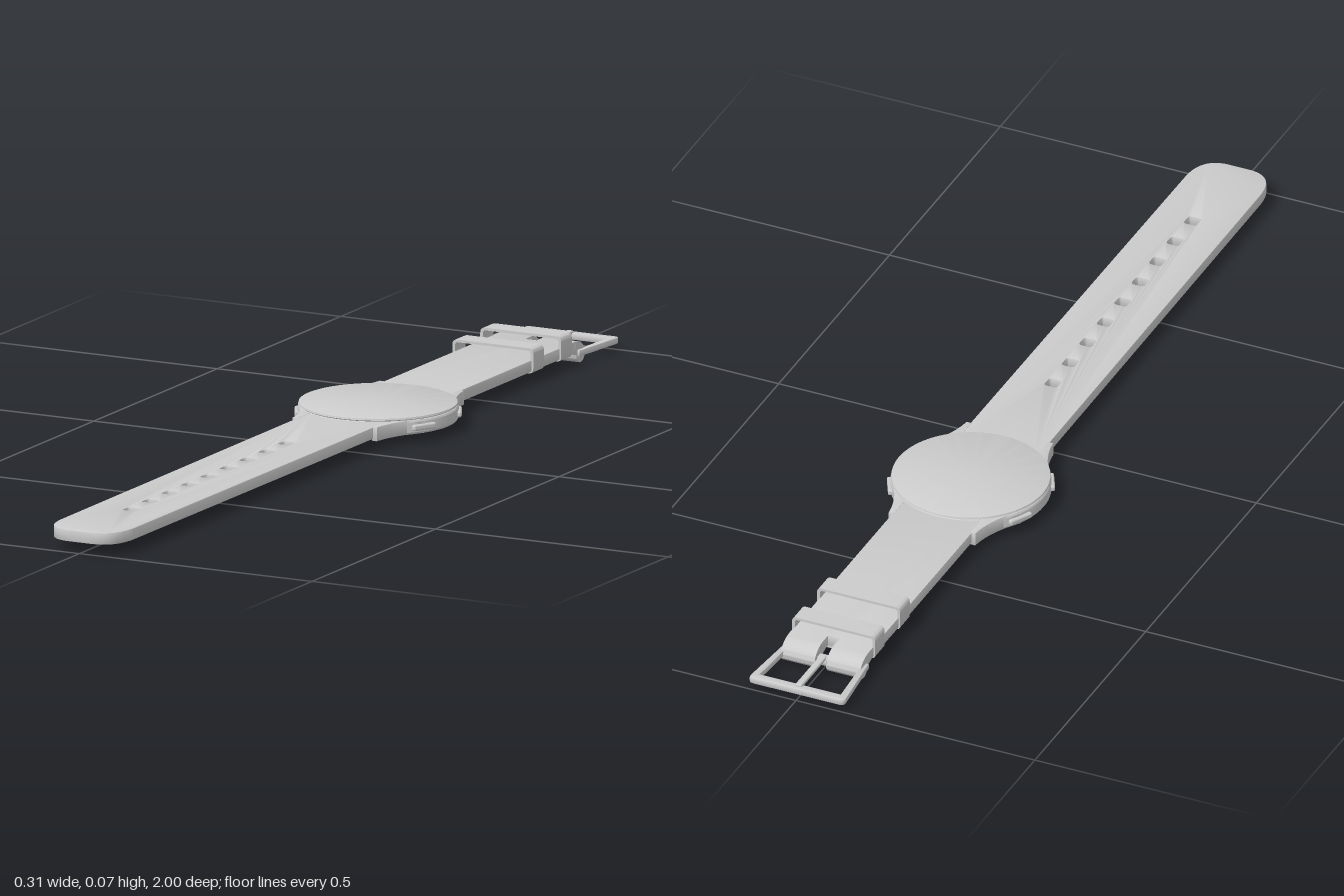
import * as THREE from 'three';
import { toCreasedNormals } from 'three/addons/utils/BufferGeometryUtils.js';
import { RoundedBoxGeometry } from 'three/addons/geometries/RoundedBoxGeometry.js';

const CASE_Z = -0.21;
const material = new THREE.MeshStandardMaterial({ color: 0xcccccc });

export function createModel() {
  const model = new THREE.Group();

  const add = (name, geometry, x = 0, y = 0, z = 0) => {
    const mesh = new THREE.Mesh(geometry, material);
    mesh.name = name;
    mesh.position.set(x, y, z);
    model.add(mesh);
    return mesh;
  };

  // Extrudes a plan outline (x, z) downward from the height top to bottom
  const slab = (shape, top, bottom, bevel = 0) => {
    const g = new THREE.ExtrudeGeometry(shape, {
      depth: top - bottom - 2 * bevel, curveSegments: 12,
      bevelEnabled: bevel > 0, bevelSize: bevel, bevelThickness: bevel, bevelOffset: -bevel, bevelSegments: 2,
    });
    g.rotateX(Math.PI / 2).translate(0, top - bevel, 0);
    return toCreasedNormals(g, 0.6);
  };

  const roundRect = (path, x0, y0, x1, y1, r) => {
    path.moveTo(x0 + r, y0);
    path.lineTo(x1 - r, y0);
    path.quadraticCurveTo(x1, y0, x1, y0 + r);
    path.lineTo(x1, y1 - r);
    path.quadraticCurveTo(x1, y1, x1 - r, y1);
    path.lineTo(x0 + r, y1);
    path.quadraticCurveTo(x0, y1, x0, y1 - r);
    path.lineTo(x0, y0 + r);
    path.quadraticCurveTo(x0, y0, x0 + r, y0);
    return path;
  };

  // Round case with a stepped bezel and a flat screen
  const profile = [
    [0, 0.016], [0.143, 0.016], [0.15, 0.018], [0.153, 0.022], [0.153, 0.042],
    [0.151, 0.045], [0.149, 0.046], [0.152, 0.048], [0.151, 0.0515], [0.147, 0.053], [0, 0.053],
  ].map(([r, y]) => new THREE.Vector2(r, y));
  add('case', toCreasedNormals(new THREE.LatheGeometry(profile, 80), 0.5), 0, 0, CASE_Z);

  // Four lugs that sweep out of the case beside the strap
  for (const sx of [-1, 1]) {
    for (const sz of [-1, 1]) {
      const lug = new THREE.Shape();
      lug.moveTo(sx * 0.136, sz * 0.068);
      lug.quadraticCurveTo(sx * 0.096, sz * 0.122, sx * 0.091, sz * 0.176);
      lug.lineTo(sx * 0.08, sz * 0.176);
      lug.lineTo(sx * 0.08, sz * 0.09);
      add('lug', slab(lug, 0.046, 0.018, 0.002), 0, 0, CASE_Z);
    }
  }

  // Two push buttons on each flank
  for (const side of [0, Math.PI]) {
    for (const tilt of [-0.48, 0.48]) {
      const a = side + tilt;
      const button = add('button', new RoundedBoxGeometry(0.016, 0.012, 0.052, 2, 0.004),
        0.151 * Math.cos(a), 0.031, CASE_Z + 0.151 * Math.sin(a));
      button.rotation.y = -a;
    }
  }

  // Long strap with a rounded tip and nine adjustment holes
  const long = new THREE.Shape();
  long.moveTo(-0.083, -0.1);
  long.lineTo(0.083, -0.1);
  long.lineTo(0.079, 0.93);
  long.bezierCurveTo(0.077, 0.975, 0.06, 1, 0.02, 1);
  long.lineTo(-0.02, 1);
  long.bezierCurveTo(-0.06, 1, -0.077, 0.975, -0.079, 0.93);
  for (let i = 0; i < 9; i++) {
    const z = 0.16 + i * 0.0787;
    long.holes.push(roundRect(new THREE.Path(), -0.013, z - 0.013, 0.013, z + 0.013, 0.007));
  }
  add('longStrap', slab(long, 0.045, 0.022, 0.002));

  // Short strap, notched at its end for the buckle tongue
  const short = new THREE.Shape();
  [[-0.083, -0.32], [-0.083, -0.855], [-0.012, -0.855], [-0.012, -0.83],
    [0.012, -0.83], [0.012, -0.855], [0.083, -0.855], [0.083, -0.32]]
    .forEach(([x, z], i) => (i ? short.lineTo(x, z) : short.moveTo(x, z)));
  add('shortStrap', slab(short, 0.045, 0.022, 0.002));

  // Strap ends rolled down around the buckle bar
  const curl = new THREE.Shape();
  curl.moveTo(0.835, 0.045);
  curl.lineTo(0.855, 0.045);
  curl.bezierCurveTo(0.875, 0.043, 0.89, 0.032, 0.89, 0.018);
  curl.absarc(0.873, 0.018, 0.017, 0, -Math.PI, true);
  curl.lineTo(0.835, 0.024);
  for (const x of [-0.0475, 0.0475]) {
    const g = new THREE.ExtrudeGeometry(curl, { depth: 0.071, bevelEnabled: false, curveSegments: 12 });
    g.translate(0, 0, -0.0355).rotateY(Math.PI / 2);
    add('strapCurl', toCreasedNormals(g, 0.6), x);
  }

  // Two keeper loops around the short strap
  for (const z of [-0.83, -0.717]) {
    const loop = roundRect(new THREE.Shape(), -0.087, 0.019, 0.087, 0.068, 0.01);
    loop.holes.push(roundRect(new THREE.Path(), -0.081, 0.024, 0.081, 0.063, 0.006));
    const g = new THREE.ExtrudeGeometry(loop, { depth: 0.043, bevelEnabled: false, curveSegments: 6 });
    add('keeperLoop', toCreasedNormals(g, 0.6), 0, 0, z);
  }

  // Buckle frame, flaring toward its outer end
  const frame = new THREE.Shape();
  frame.moveTo(-0.088, -0.86);
  frame.lineTo(-0.1, -0.988);
  frame.quadraticCurveTo(-0.101, -1, -0.09, -1);
  frame.lineTo(0.09, -1);
  frame.quadraticCurveTo(0.101, -1, 0.1, -0.988);
  frame.lineTo(0.088, -0.86);
  frame.lineTo(0.076, -0.86);
  frame.lineTo(0.084, -0.98);
  frame.lineTo(-0.084, -0.98);
  frame.lineTo(-0.076, -0.86);
  add('buckleFrame', slab(frame, 0.027, 0.014, 0.003));

  // Cross bar, and the tongue that hinges on it
  const bar = new THREE.CylinderGeometry(0.007, 0.007, 0.172, 16).rotateZ(Math.PI / 2);
  add('buckleBar', bar, 0, 0.018, -0.873);
  const hinge = new THREE.CylinderGeometry(0.011, 0.011, 0.018, 16).rotateZ(Math.PI / 2);
  add('tongueHinge', hinge, 0, 0.019, -0.873);
  add('buckleTongue', new RoundedBoxGeometry(0.014, 0.008, 0.118, 2, 0.003), 0, 0.027, -0.931);

  return model;
}
